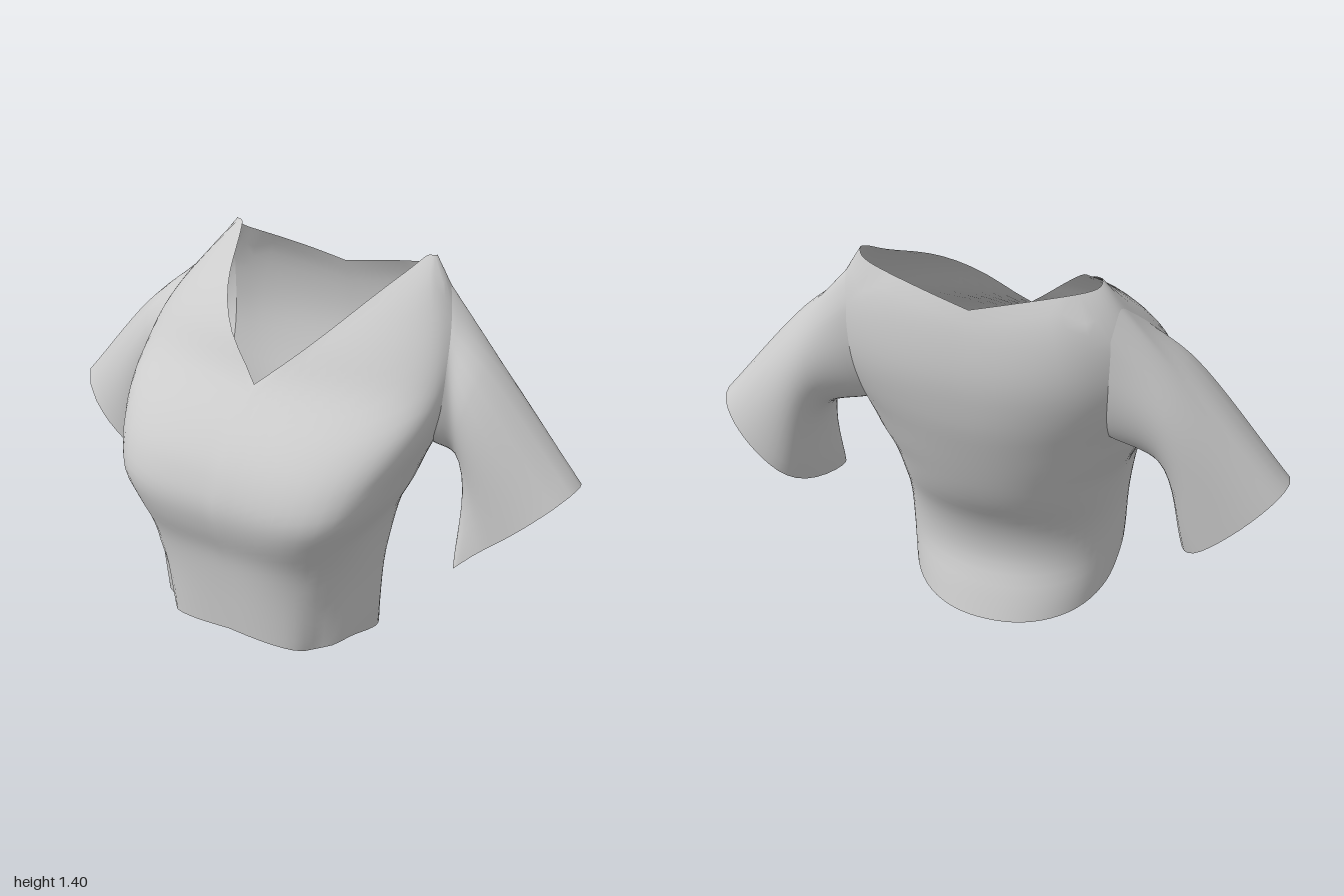
import * as THREE from 'three';

const COLS = 72, ROWS = 32;
// armhole window in the torso grid (columns around the +x side, rows upward)
const HOLE = { c0: -9, c1: 1, r0: 18, r1: 30 };

const material = new THREE.MeshStandardMaterial({ color: 0xcccccc, side: THREE.DoubleSide });

// smooth curve through [input, value] pairs
function profile(pts) {
  const slope = (i) => {
    const a = pts[Math.max(0, i - 1)], b = pts[Math.min(pts.length - 1, i + 1)];
    return (b[1] - a[1]) / (b[0] - a[0]);
  };
  return (x) => {
    if (x <= pts[0][0]) return pts[0][1];
    let i = 0;
    while (i < pts.length - 2 && x > pts[i + 1][0]) i++;
    const [x0, y0] = pts[i], [x1, y1] = pts[i + 1];
    const d = x1 - x0, t = Math.min(1, (x - x0) / d), t2 = t * t, t3 = t2 * t;
    return y0 * (2 * t3 - 3 * t2 + 1) + y1 * (3 * t2 - 2 * t3)
      + d * (slope(i) * (t3 - 2 * t2 + t) + slope(i + 1) * (t3 - t2));
  };
}

// body measurements by height
const halfWidth = profile([[0, 0.37], [0.2, 0.39], [0.4, 0.4], [0.6, 0.43], [0.7, 0.475], [0.8, 0.51],
  [0.9, 0.55], [1.0, 0.57], [1.1, 0.56], [1.2, 0.525], [1.3, 0.465], [1.4, 0.395]]);
const frontZ = profile([[0.1, 0.38], [0.2, 0.385], [0.4, 0.4], [0.5, 0.415], [0.6, 0.45], [0.68, 0.465],
  [0.75, 0.455], [0.85, 0.41], [0.95, 0.32], [1.04, 0.2], [1.19, 0.1], [1.3, -0.04], [1.4, -0.29]]);
const backZ = profile([[0, -0.285], [0.1, -0.25], [0.2, -0.212], [0.3, -0.215], [0.4, -0.25], [0.5, -0.31],
  [0.6, -0.355], [0.8, -0.42], [0.9, -0.445], [1.05, -0.462], [1.2, -0.445], [1.3, -0.41], [1.4, -0.34]]);
const sideZ = profile([[0, 0.05], [0.4, 0.04], [0.7, 0.01], [1.0, -0.05], [1.1, -0.1], [1.2, -0.19],
  [1.3, -0.28], [1.4, -0.325]]);
// boxiness of the front and back halves by height
const frontBox = profile([[0, 3], [0.4, 3], [0.7, 4.2], [0.9, 3.1], [1.1, 2.1], [1.4, 2]]);
const backBox = profile([[0, 2.2], [0.8, 2.2], [1.15, 2.7], [1.4, 2.7]]);
// hem height by position from back (-1) to front (1)
const hemY = profile([[-1, 0], [-0.6, 0.04], [0, 0.115], [0.45, 0.165], [0.8, 0.14], [1, 0.15]]);

// point on a unit rounded square
function direction(angle, n) {
  const c = Math.cos(angle), s = Math.sin(angle);
  const k = (Math.abs(c) ** n + Math.abs(s) ** n) ** (-1 / n);
  return [c * k, s * k];
}

// V-neck in front, shallow scoop at the back, small peak on the shoulder
function neckY(f, front) {
  let y = 1.2;
  for (let i = 0; i < 30; i++) {
    const target = front ? 1.04 + 0.86 * f * halfWidth(y) : 1.28 + 0.24 * f * halfWidth(y);
    y = (y + target) / 2;
  }
  return Math.min(1.4, y + 0.025 * f ** 16);
}

// bend the grid near the armhole so that the window becomes an oval
function roundWindow(col, row) {
  const { c0, c1, r0, r1 } = HOLE;
  const cm = (c0 + c1) / 2, ch = (c1 - c0) / 2, rm = (r0 + r1) / 2, rh = (r1 - r0) / 2;
  const p = (col - cm) / ch, q = (row - rm) / rh;
  const far = Math.max(Math.abs(p), Math.abs(q));
  const k = 0.42 * THREE.MathUtils.clamp((1.333 - far) / 0.333, 0, 1);
  if (k === 0) return [col, row];
  return [cm + ch * p * Math.sqrt(1 - k * q * q), rm + rh * q * Math.sqrt(1 - k * p * p)];
}

function torsoPoint(col, row) {
  const signed = col >= COLS * 0.75 ? col - COLS : col;
  const right = signed > COLS / 4;
  const [c, r] = roundWindow(right ? COLS / 2 - signed : signed, row);
  const angle = (c / COLS) * Math.PI * 2;
  const front = Math.sin(angle) > 1e-6;
  const [f0, s0] = direction(angle, front ? 3 : 2.2);
  const low = hemY(s0) + 0.03 * (1 - Math.abs(f0)) * Math.max(0, s0);
  const y = low + (neckY(Math.abs(f0), front) - low) * (r / ROWS);
  const [dx, dz] = direction(angle, front ? frontBox(y) : backBox(y));
  // creases at the front corners of the hem
  const corner = Math.atan2(dz, dx) - 0.75;
  const crease = (right ? 0.14 : 0.08) * Math.exp(-((corner / 0.13) ** 2)) * Math.max(0, 1 - y / 0.4);
  const zc = sideZ(y), depth = front ? frontZ(y) - zc : zc - backZ(y);
  const k = 1 - crease;
  return new THREE.Vector3((right ? -1 : 1) * dx * halfWidth(y) * k, y, zc + dz * depth * k);
}

function meshFrom(name, points, index) {
  const geometry = new THREE.BufferGeometry().setFromPoints(points);
  geometry.setIndex(index);
  geometry.computeVertexNormals();
  const mesh = new THREE.Mesh(geometry, material);
  mesh.name = name;
  return mesh;
}

// closed torso wall with two armhole openings
function makeTorso() {
  const points = [], index = [];
  for (let r = 0; r <= ROWS; r++) for (let c = 0; c < COLS; c++) points.push(torsoPoint(c, r));
  const inHole = (c, r) => {
    const signed = c >= COLS * 0.75 ? c - COLS : c;
    const mirrored = COLS / 2 - 1 - c;
    const within = (k) => k >= HOLE.c0 && k < HOLE.c1;
    return r >= HOLE.r0 && r < HOLE.r1 && (within(signed) || within(mirrored));
  };
  for (let r = 0; r < ROWS; r++) for (let c = 0; c < COLS; c++) {
    if (inHole(c, r)) continue;
    const a = r * COLS + c, b = r * COLS + (c + 1) % COLS;
    index.push(a, a + COLS, b, b, a + COLS, b + COLS);
  }
  return meshFrom('torso', points, index);
}

// tube from the armhole edge through the upper arm to a flared cuff
function makeSleeve(name) {
  const { c0, c1, r0, r1 } = HOLE, rim = [];
  for (let r = r0; r < r1; r++) rim.push(torsoPoint(c1, r));
  for (let c = c1; c > c0; c--) rim.push(torsoPoint(c, r1));
  for (let r = r1; r > r0; r--) rim.push(torsoPoint(c0, r));
  for (let c = c0; c < c1; c++) rim.push(torsoPoint(c, r0));

  const steps = 16, n = rim.length, points = [], index = [];
  const rails = rim.map((p) => {
    const phi = Math.atan2((p.y - 1.07) / 0.26, (p.z + 0.21) / 0.18);
    const up = Math.sin(phi), fwd = Math.cos(phi);
    const arm = new THREE.Vector3(0.625 + 0.04 * up, 0.935 + 0.175 * up, -0.215 + 0.16 * fwd);
    const cuff = new THREE.Vector3(0.82 + 0.18 * up, 0.57 + 0.17 * up,
      -0.21 + 0.15 * fwd + 0.15 * Math.max(0, -up) ** 4);
    return new THREE.CatmullRomCurve3([p, arm, cuff]);
  });
  for (let j = 0; j <= steps; j++) for (const rail of rails) points.push(rail.getPoint(j / steps));
  for (let j = 0; j < steps; j++) for (let i = 0; i < n; i++) {
    const a = j * n + i, b = j * n + (i + 1) % n;
    index.push(a, b, a + n, b, b + n, a + n);
  }
  return meshFrom(name, points, index);
}

export function createModel() {
  const group = new THREE.Group();
  group.name = 'blouse';
  // the right sleeve mirrors the left one
  const rightSleeve = makeSleeve('rightSleeve');
  rightSleeve.scale.x = -1;
  group.add(makeTorso(), makeSleeve('leftSleeve'), rightSleeve);
  return group;
}
